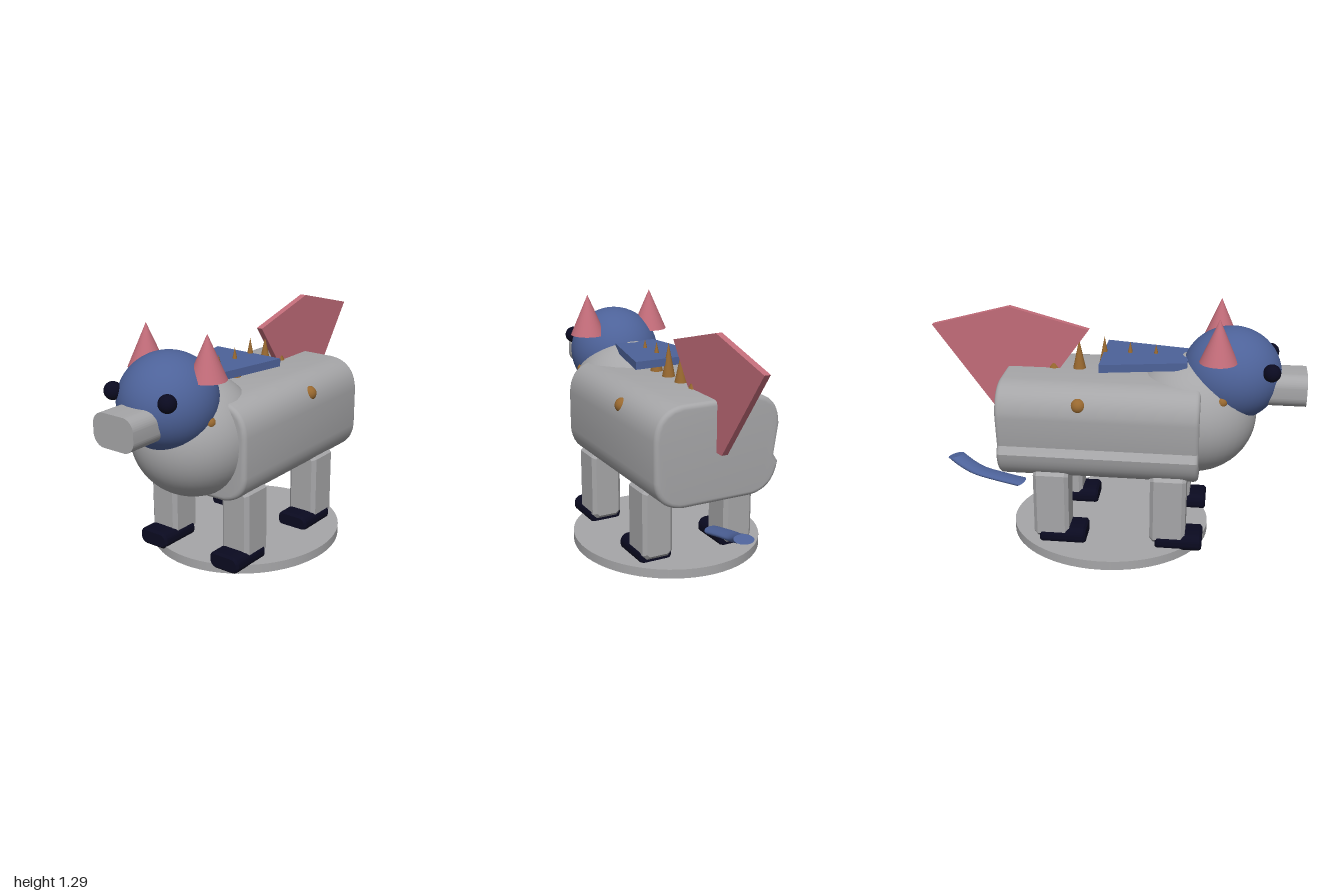
import * as THREE from 'three';
import { toCreasedNormals } from 'three/addons/utils/BufferGeometryUtils.js';

const mat = (name, color) => new THREE.MeshStandardMaterial({ name, color });

export function createModel() {
  const grey = mat('grey', 0xa6a6a8);
  const blue = mat('blue', 0x4d6299);
  const pink = mat('pink', 0xc26c79);
  const navy = mat('navy', 0x0a0a20);
  const brown = mat('brown', 0x98682f);
  const model = new THREE.Group();

  const add = (name, geometry, material, x = 0, y = 0, z = 0) => {
    const mesh = new THREE.Mesh(geometry, material);
    mesh.name = name;
    mesh.position.set(x, y, z);
    model.add(mesh);
    return mesh;
  };
  const ball = (name, r, material, x, y, z, stretch = 1) =>
    add(name, new THREE.SphereGeometry(r, 40, 28), material, x, y, z).scale.set(1, 1, stretch);
  const polygon = (points) => new THREE.Shape(points.map(([x, y]) => new THREE.Vector2(x, y)));

  // Centred rectangle with rounded corners
  const roundRect = (w, h, r) => {
    const s = new THREE.Shape();
    const a = w / 2 - r, b = h / 2 - r;
    s.absarc(a, b, r, 0, Math.PI / 2);
    s.absarc(-a, b, r, Math.PI / 2, Math.PI);
    s.absarc(-a, -b, r, Math.PI, Math.PI * 1.5);
    s.absarc(a, -b, r, Math.PI * 1.5, Math.PI * 2);
    s.closePath();
    return s;
  };
  // Extrusion from z0 to z1, with optional bevel kept inside the outline
  const extrude = (shape, z0, z1, bevel = 0, segments = 4) => {
    const g = new THREE.ExtrudeGeometry(shape, {
      depth: z1 - z0 - 2 * bevel, bevelEnabled: bevel > 0, bevelThickness: bevel,
      bevelSize: bevel, bevelOffset: -bevel, bevelSegments: segments, curveSegments: 10,
    });
    g.translate(0, 0, z0 + bevel);
    return toCreasedNormals(g, 0.5);
  };

  // Oval stand
  add('stand', new THREE.CylinderGeometry(0.508, 0.508, 0.05, 64), grey, 0, 0.025, -0.035)
    .scale.z = 1.07;

  // Barrel body with a groove low on its right side
  const body = new THREE.Shape();
  body.moveTo(-0.2, 0.405);
  body.lineTo(0.2, 0.405);
  body.quadraticCurveTo(0.345, 0.42, 0.358, 0.56);
  body.lineTo(0.358, 0.77);
  body.quadraticCurveTo(0.35, 0.925, 0.2, 0.938);
  body.lineTo(-0.2, 0.938);
  body.quadraticCurveTo(-0.35, 0.925, -0.358, 0.77);
  body.lineTo(-0.333, 0.605);
  body.lineTo(-0.358, 0.565);
  body.quadraticCurveTo(-0.335, 0.42, -0.2, 0.405);
  add('body', extrude(body, -0.6, 0.46, 0.024), grey);

  // Chest, head and snout
  ball('chest', 0.325, grey, 0, 0.718, 0.412, 1.04);
  ball('head', 0.25, blue, 0, 0.944, 0.608, 1.05);
  add('snout', extrude(roundRect(0.254, 0.174, 0.065), 0.6, 1.0), grey, 0, 0.887, 0);

  for (const side of [-1, 1]) {
    ball('eye', 0.046, navy, side * 0.173, 1.013, 0.812);
    add('ear', new THREE.ConeGeometry(0.098, 0.226, 32), pink, side * 0.195, 1.182, 0.54);
    ball('flankKnob', 0.04, brown, side * 0.32, 0.845, -0.163);
    ball('neckKnob', 0.03, brown, side * 0.225, 0.863, 0.565);

    // Chamfered legs with flat hooves
    for (const [name, z] of [['front', 0.305], ['back', -0.32]]) {
      const leg = polygon([[-0.06, -0.198], [0.06, -0.198], [0.086, -0.172], [0.086, 0.172],
        [0.06, 0.198], [-0.06, 0.198], [-0.086, 0.172], [-0.086, -0.172]]);
      add(name + 'Leg', extrude(leg, -0.095, 0.095, 0.02, 1), grey, side * 0.241, 0.267, z);
      add(name + 'Hoof', extrude(roundRect(0.186, 0.094, 0.042), -0.065, 0.185, 0.012, 1),
        navy, side * 0.24, 0.078, z);
    }
  }

  // Flat neck plate, widening to the rear
  const plate = extrude(polygon([[-0.14, -0.38], [0.1, -0.38], [0.195, 0.07], [-0.225, 0.07]]), 0, 0.042);
  plate.rotateX(-Math.PI / 2);
  add('neckPlate', plate, blue, 0, 0.995, 0);

  // Row of back spikes
  [1.085, 1.097, 1.12, 1.097, 1.0].forEach((top, i) => {
    const h = top - 0.92;
    add('spike', new THREE.ConeGeometry(0.038, h, 24), brown, 0, 0.92 + h / 2, 0.207 - i * 0.137);
  });

  // Upright five-sided fin
  const fin = extrude(polygon([[0.15, 1.155], [0.5, 0.67], [0.65, 0.67], [1.0, 1.155], [0.575, 1.268]]),
    -0.017, 0.017);
  fin.rotateY(Math.PI / 2);
  add('fin', fin, pink);

  // Flattened curved tail
  const flat = 0.32;
  const path = new THREE.CatmullRomCurve3(
    [[0, 0.234, -0.552], [0, 0.262, -0.68], [0.008, 0.287, -0.79], [0.03, 0.318, -0.87], [0.064, 0.35, -0.94]]
      .map(([x, y, z]) => new THREE.Vector3(x, y / flat, z)));
  const round = new THREE.Shape();
  round.absarc(0, 0, 0.05, 0, Math.PI * 2);
  const tail = toCreasedNormals(
    new THREE.ExtrudeGeometry(round, { steps: 20, curveSegments: 12, extrudePath: path }), 0.7);
  tail.scale(1, flat, 1);
  add('tail', tail, blue);

  return model;
}
